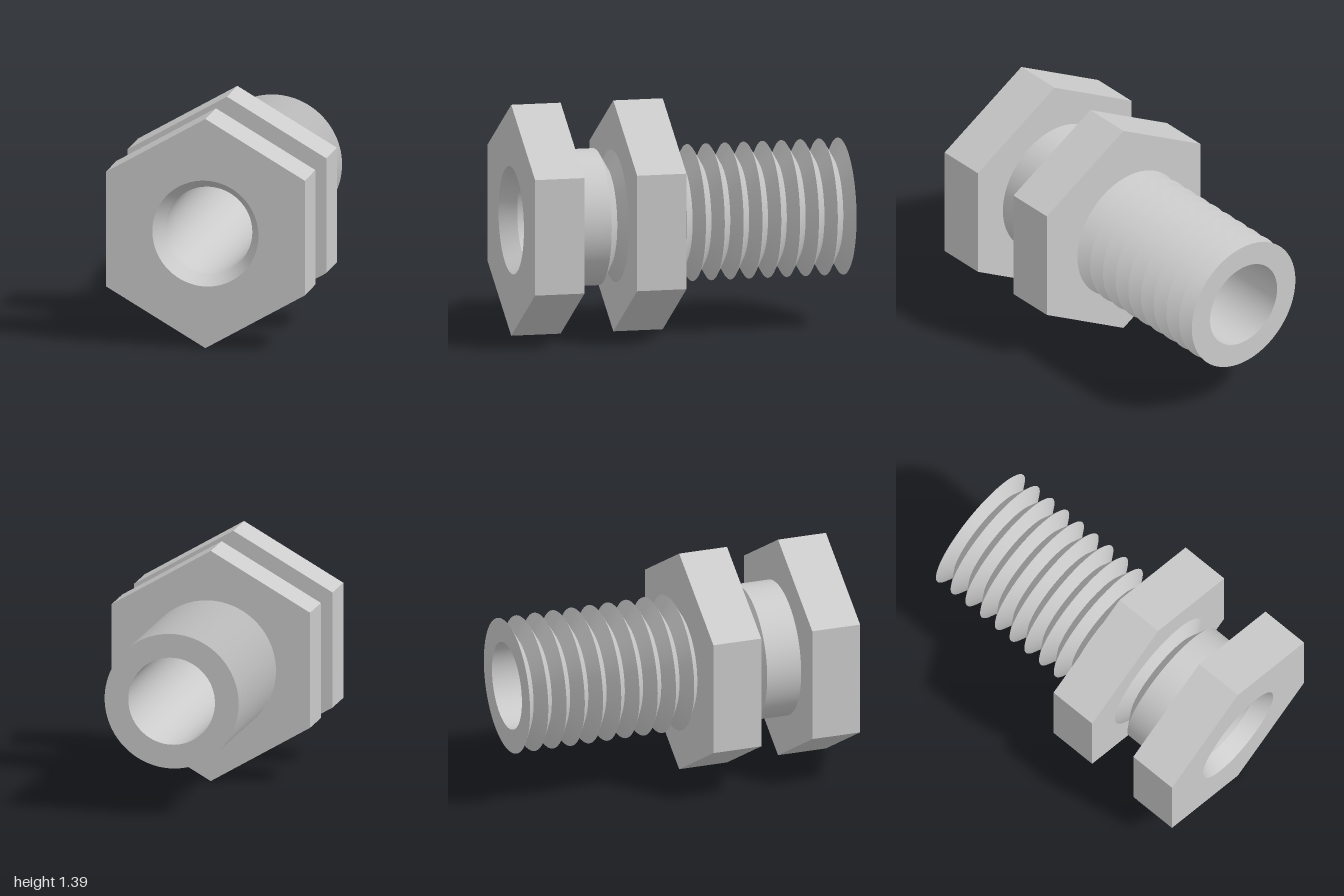
import * as THREE from 'three';
import { toCreasedNormals } from 'three/addons/utils/BufferGeometryUtils.js';

const HEX = 0.693;      // hexagon corner radius, also the axis height
const CREST = 0.405;    // thread crest and shank radius
const ROOT = 0.307;     // thread root radius
const BORE = 0.262;
const SINK = 0.32;      // countersink mouth radius
const GROOVES = 13;
const PITCH = 1.487 / GROOVES;

const material = new THREE.MeshStandardMaterial({ color: 0xcccccc });

// Hexagonal plate with a round hole, from zBack to zFront
function hexPlate(name, zBack, zFront, holeRadius) {
  const shape = new THREE.Shape();
  for (let i = 0; i < 6; i++) {
    const a = Math.PI / 2 + (i * Math.PI) / 3;
    const x = HEX * Math.cos(a), y = HEX * Math.sin(a);
    if (i === 0) shape.moveTo(x, y);
    else shape.lineTo(x, y);
  }
  shape.closePath();
  const hole = new THREE.Path();
  hole.absarc(0, 0, holeRadius, 0, Math.PI * 2, true);
  shape.holes.push(hole);
  const geometry = new THREE.ExtrudeGeometry(shape, {
    depth: zFront - zBack, bevelEnabled: false, curveSegments: 48,
  });
  geometry.translate(0, 0, zBack);
  const mesh = new THREE.Mesh(geometry, material);
  mesh.name = name;
  return mesh;
}

// Hollow body: countersink, bore, end face, V grooves and plain shank in one turn
function threadedBody() {
  const profile = [[SINK, 1], [BORE, 0.9], [BORE, -1], [CREST, -1]];
  for (let i = 0; i < GROOVES; i++) {
    profile.push([ROOT, -1 + (i + 0.5) * PITCH], [CREST, -1 + (i + 1) * PITCH]);
  }
  profile.push([CREST, 0.7]);
  const points = profile.map(([r, z]) => new THREE.Vector2(r, z));
  const lathe = new THREE.LatheGeometry(points, 96);
  lathe.rotateX(Math.PI / 2);
  const mesh = new THREE.Mesh(toCreasedNormals(lathe, 0.4), material);
  mesh.name = 'threadedBody';
  return mesh;
}

export function createModel() {
  const model = new THREE.Group();
  model.name = 'hollowBoltWithNut';

  const assembly = new THREE.Group();
  assembly.name = 'boltAssembly';
  assembly.position.y = HEX;
  assembly.add(
    hexPlate('boltHead', 0.7, 1, SINK),
    hexPlate('nut', 0.08, 0.38, ROOT),
    threadedBody(),
  );
  model.add(assembly);
  return model;
}
